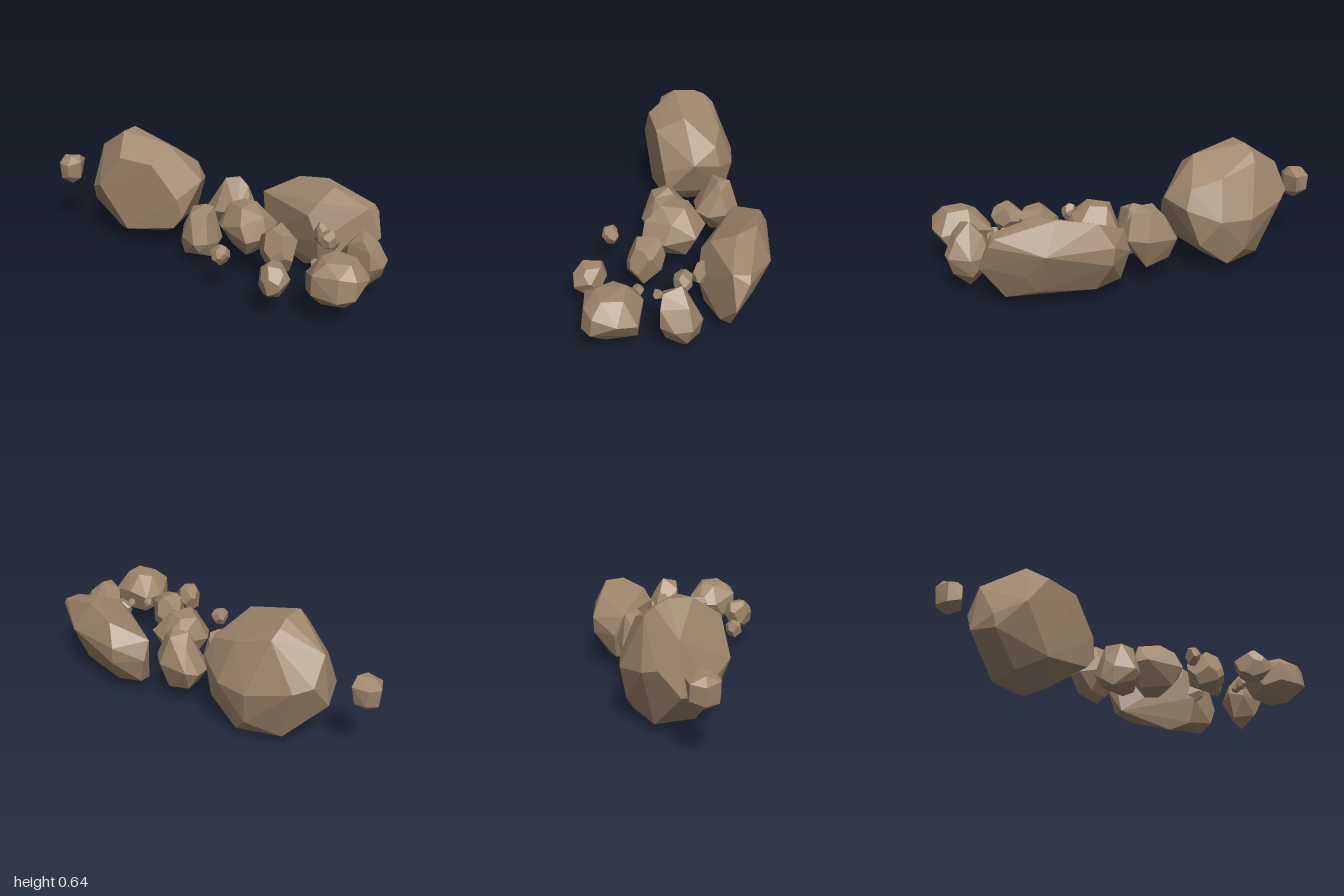
import * as THREE from 'three';
import { ConvexGeometry } from 'three/addons/geometries/ConvexGeometry.js';

const V = (x, y, z) => new THREE.Vector3(x, y, z);

function seeded(seed) {
  let s = seed * 7919 + 17;
  return () => ((s = (s * 16807) % 2147483647) / 2147483647);
}

// Chiselled pebble: the corners left where a ring of cutting planes meet
function cutCorners(seed, count) {
  const rand = seeded(seed);
  rand();
  const spin = rand() * 6.28;
  const planes = [];
  for (let i = 0; i < count; i++) {
    const y = 1 - (2 * i + 1) / count;
    const a = i * 2.39996 + spin, r = Math.sqrt(1 - y * y);
    const n = V(r * Math.cos(a), y, r * Math.sin(a));
    n.add(V(rand() - 0.5, rand() - 0.5, rand() - 0.5).multiplyScalar(0.4)).normalize();
    planes.push({ n, d: 0.92 + rand() * 0.14 });
  }
  const corners = [];
  for (let i = 0; i < count; i++) for (let j = i + 1; j < count; j++) for (let k = j + 1; k < count; k++) {
    const [a, b, c] = [planes[i], planes[j], planes[k]];
    const bc = b.n.clone().cross(c.n), det = a.n.dot(bc);
    if (Math.abs(det) < 0.02) continue;
    const p = bc.multiplyScalar(a.d)
      .add(c.n.clone().cross(a.n).multiplyScalar(b.d))
      .add(a.n.clone().cross(b.n).multiplyScalar(c.d)).divideScalar(det);
    if (planes.every((q) => q.n.dot(p) <= q.d + 1e-6)) corners.push(p);
  }
  return corners;
}

// Slant the corners between x and z, then fit them between low and high
function fittedRock(seed, low, high, slant, count) {
  const pts = cutCorners(seed, count);
  pts.forEach((p) => p.set(p.x + slant * p.z, p.y, p.z + slant * p.x));
  const box = new THREE.Box3().setFromPoints(pts);
  const size = box.getSize(V(0, 0, 0));
  const lo = V(...low), span = V(...high).sub(lo);
  pts.forEach((p) => p.sub(box.min).divide(size).multiply(span).add(lo));
  return new ConvexGeometry(pts);
}

export function createModel() {
  const group = new THREE.Group();
  const stone = new THREE.MeshStandardMaterial({ color: 0x9e856b });
  stone.name = 'brown stone';
  const add = (name, geometry) => {
    const mesh = new THREE.Mesh(geometry, stone);
    mesh.name = name;
    group.add(mesh);
  };
  const boulder = (name, corners) => add(name, new ConvexGeometry(corners.map((p) => V(...p))));

  // Tall boulder, with a broad flat front
  boulder('tallBoulder', [
    [-0.5, 0.535, -0.057], [-0.313, 0.513, -0.06], [-0.174, 0.32, -0.075], [-0.2, 0.145, -0.09],
    [-0.473, 0.112, -0.07], [-0.63, 0.363, -0.058], [-0.72, 0.23, -0.187],
    [-0.537, 0.645, -0.21], [-0.52, 0.643, -0.325], [-0.275, 0.593, -0.21], [-0.52, 0.613, -0.388],
    [-0.5, 0.567, -0.434], [-0.3, 0.505, -0.42], [-0.416, 0.3, -0.533], [-0.645, 0.35, -0.49],
    [-0.25, 0.3, -0.49], [-0.08, 0.395, -0.224], [-0.11, 0.36, -0.38], [-0.15, 0.21, -0.09],
    [-0.17, 0.17, -0.42], [-0.313, 0.048, -0.26], [-0.447, 0.025, -0.39], [-0.57, 0.055, -0.21],
    [-0.33, 0.045, -0.45], [-0.56, 0.05, -0.41], [-0.4, 0.13, -0.5], [-0.763, 0.25, -0.34],
    [-0.73, 0.51, -0.34], [-0.725, 0.38, -0.437], [-0.735, 0.3, -0.19], [-0.15, 0.46, -0.36],
  ]);

  // Long boulder, lying diagonally
  boulder('longBoulder', [
    [0.245, 0.23, -0.4], [0.245, 0.33, -0.35], [0.275, 0.09, -0.32], [0.285, 0.09, -0.38],
    [0.33, 0.347, -0.4], [0.38, 0.306, -0.485], [0.39, 0.216, -0.48], [0.435, 0.417, -0.425],
    [0.61, 0.45, -0.35], [0.66, 0.443, -0.235], [0.7, 0.3, -0.4], [0.88, 0.375, -0.24],
    [0.86, 0.375, -0.16], [0.905, 0.34, -0.23], [0.933, 0.22, -0.165], [0.81, 0.045, -0.18],
    [0.53, 0.003, -0.18], [0.43, 0.07, -0.386], [0.76, 0.18, -0.3], [0.62, 0.193, -0.065],
    [0.555, 0.32, -0.096], [0.6, 0.386, -0.125], [0.7, 0.09, -0.3], [0.83, 0.1, -0.12], [0.62, 0.05, -0.1],
  ]);

  // Medium rocks
  boulder('backRock', [
    [-0.07, 0.22, -0.29], [-0.065, 0.22, -0.37], [-0.02, 0.24, -0.42], [0.14, 0.25, -0.41],
    [0.21, 0.25, -0.33], [0.2, 0.24, -0.23], [0.14, 0.25, -0.18], [0.005, 0.23, -0.2],
    [0.04, 0.405, -0.29], [0.125, 0.412, -0.3], [0.17, 0.37, -0.3], [0.01, 0.35, -0.36],
    [0.1, 0.395, -0.37], [0.04, 0.08, -0.31], [0.1, 0.11, -0.27], [0.12, 0.1, -0.36],
    [0, 0.12, -0.27], [-0.01, 0.13, -0.37],
  ]);
  boulder('middleLeftRock', [
    [-0.14, 0.09, -0.05], [-0.11, 0.05, -0.07], [0.05, 0.05, -0.08], [0.085, 0.13, -0.1],
    [0.085, 0.13, -0.03], [-0.1, 0.05, 0], [0.05, 0.05, 0], [0.05, 0.14, 0.053],
    [-0.02, 0.14, 0.085], [-0.11, 0.15, 0.016], [-0.09, 0.15, -0.155], [-0.01, 0.2, -0.18],
    [0.04, 0.31, -0.08], [0, 0.33, -0.06], [-0.08, 0.3, -0.08], [-0.12, 0.2, -0.04],
    [0.03, 0.29, 0.02], [-0.06, 0.29, 0.02], [0, 0.09, 0.06],
  ]);
  boulder('middleRock', [
    [0.16, 0.12, -0.05], [0.275, 0.1, 0], [0.33, 0.12, -0.08], [0.26, 0.11, -0.12],
    [0.085, 0.24, -0.03], [0.176, 0.25, -0.187], [0.26, 0.25, -0.2], [0.388, 0.25, -0.117],
    [0.37, 0.22, 0.043], [0.288, 0.22, 0.144], [0.12, 0.25, 0.04], [0.14, 0.36, -0.05],
    [0.28, 0.372, -0.08], [0.34, 0.32, 0], [0.23, 0.37, 0.03], [0.2, 0.365, -0.12],
    [0.27, 0.13, 0.08], [0.25, 0.3, 0.12],
  ]);
  boulder('roundRock', [
    [0.645, 0.22, 0.35], [0.68, 0.22, 0.245], [0.795, 0.25, 0.235], [0.94, 0.22, 0.29],
    [0.953, 0.24, 0.385], [0.91, 0.18, 0.5], [0.91, 0.27, 0.49], [0.83, 0.165, 0.53],
    [0.83, 0.28, 0.515], [0.7, 0.17, 0.49], [0.7, 0.27, 0.49], [0.72, 0.32, 0.36],
    [0.78, 0.335, 0.31], [0.88, 0.325, 0.34], [0.87, 0.33, 0.44], [0.76, 0.325, 0.45],
    [0.72, 0.12, 0.28], [0.88, 0.12, 0.28], [0.85, 0.095, 0.42], [0.74, 0.1, 0.43], [0.66, 0.15, 0.4],
  ]);
  boulder('sideRock', [
    [0.76, 0.22, 0.08], [0.805, 0.19, -0.005], [0.91, 0.19, -0.017], [0.9, 0.1, -0.005],
    [0.998, 0.2, 0.053], [0.985, 0.19, 0.133], [0.97, 0.11, 0.07], [0.93, 0.187, 0.187],
    [0.92, 0.28, 0.185], [0.885, 0.03, 0.07], [0.8, 0.08, 0.08], [0.805, 0.2, 0.15],
    [0.81, 0.3, 0.15], [0.88, 0.335, 0.165], [0.87, 0.36, 0.075], [0.9, 0.1, 0.155],
    [0.95, 0.29, 0.06], [0.82, 0.29, 0.04],
  ]);
  boulder('outlyingRock', [
    [-1, 0.39, -0.31], [-0.99, 0.3, -0.31], [-0.95, 0.32, -0.37], [-0.96, 0.4, -0.37],
    [-0.875, 0.4, -0.365], [-0.89, 0.31, -0.355], [-0.865, 0.3, -0.28], [-0.86, 0.4, -0.28],
    [-0.91, 0.32, -0.21], [-0.91, 0.39, -0.21], [-0.97, 0.3, -0.24], [-0.975, 0.4, -0.235],
    [-0.97, 0.432, -0.3], [-0.88, 0.435, -0.31], [-0.91, 0.435, -0.26], [-0.93, 0.262, -0.3], [-0.91, 0.27, -0.26],
  ]);

  // Small rocks and pebbles: name, lowest corner, highest corner, slant, planes
  [
    ['frontRock', [0.355, 0.12, 0.06], [0.56, 0.345, 0.25], 0.08, 18],
    ['smallFrontRock', [0.43, 0.11, 0.355], [0.595, 0.28, 0.525], 0.15, 18],
    ['pebble1', [0.635, 0.2, -0.025], [0.75, 0.31, 0.075], 0, 16],
    ['pebble2', [0.585, 0.17, -0.12], [0.685, 0.3, -0.03], 0.2, 16],
    ['pebble3', [0.71, 0.19, 0.13], [0.755, 0.245, 0.18], 0, 14],
    ['pebble4', [0.645, 0.17, 0.21], [0.695, 0.24, 0.27], 0, 14],
    ['pebble5', [0.155, 0.16, 0.25], [0.245, 0.265, 0.335], -0.1, 16],
  ].forEach(([name, low, high, slant, count], i) => add(name, fittedRock(i + 3, low, high, slant, count)));

  return group;
}
